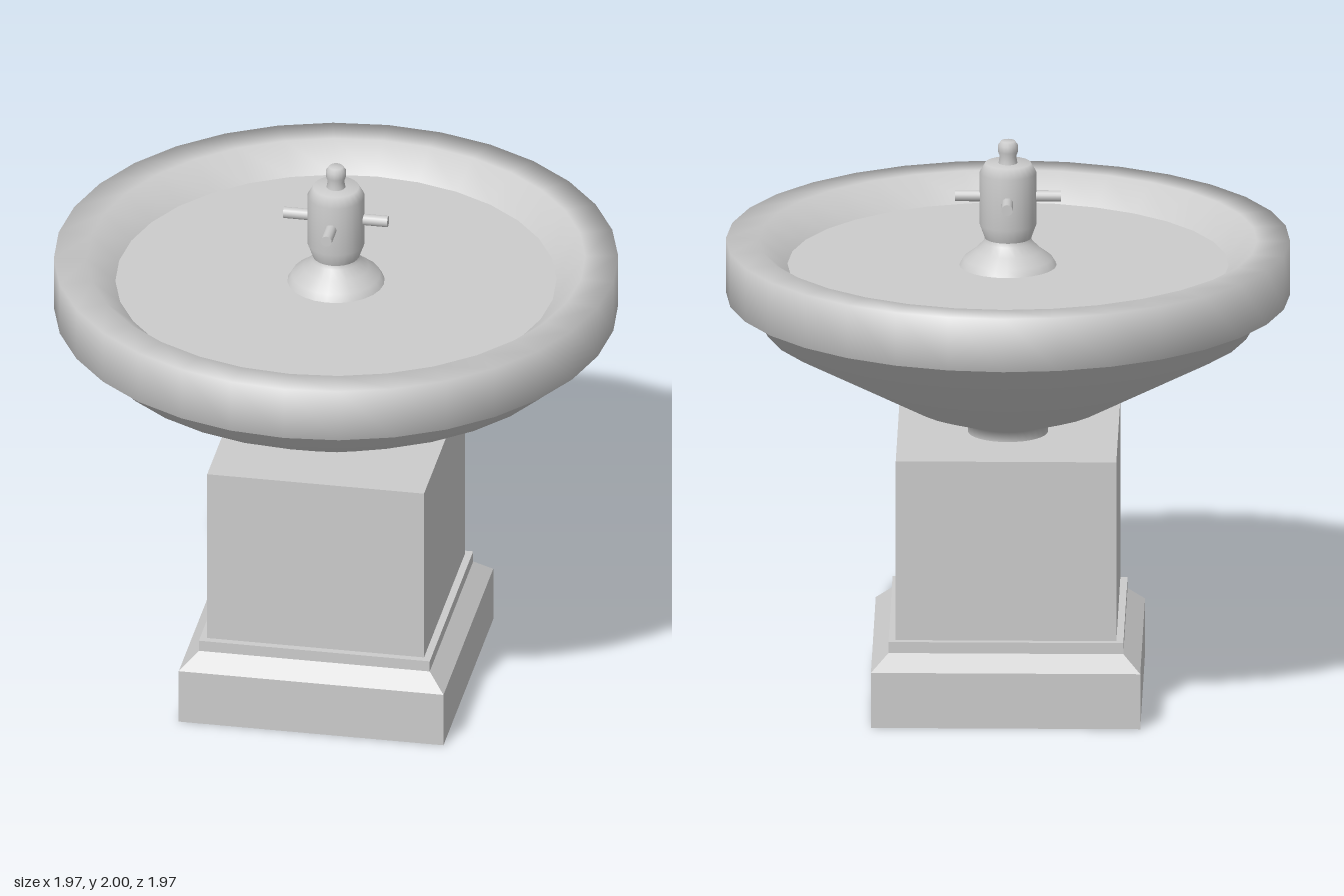
import * as THREE from 'three';

const smooth = new THREE.MeshStandardMaterial({ color: 0xcccccc });
const flat = new THREE.MeshStandardMaterial({ color: 0xcccccc, flatShading: true });

// Revolve a profile of [radius, height] points listed from bottom to top
function turned(name, profile, segments, material = smooth, phiStart = 0) {
  const points = profile.map(([r, y]) => new THREE.Vector2(r, y));
  const mesh = new THREE.Mesh(new THREE.LatheGeometry(points, segments, phiStart), material);
  mesh.name = name;
  return mesh;
}

export function createModel() {
  const fountain = new THREE.Group();
  fountain.name = 'fountain';

  // Square pedestal: plinth, sloped moulding, narrow band and block (half-widths)
  const pedestal = [
    [0, 0], [0.47, 0], [0.47, 0.2], [0.41, 0.255], [0.41, 0.295],
    [0.385, 0.295], [0.385, 0.945], [0, 0.945],
  ].map(([half, y]) => [half * Math.SQRT2, y]);
  fountain.add(turned('pedestal', pedestal, 4, flat, Math.PI / 4));

  // Short neck, bowl underside, overhanging rim and sloped inner lip
  fountain.add(turned('basin', [
    [0.14, 0.94], [0.14, 0.98], [0.34, 1.05], [0.85, 1.33], [0.92, 1.447],
    [0.985, 1.447], [0.985, 1.64], [0.87, 1.64], [0.77, 1.55],
  ], 32));

  // Flat water surface
  const water = new THREE.Mesh(new THREE.CircleGeometry(0.77, 32), smooth);
  water.name = 'water';
  water.rotation.x = -Math.PI / 2;
  water.position.y = 1.55;
  fountain.add(water);

  // Central spout: flared foot, rounded body and small finial
  const spout = new THREE.Group();
  spout.name = 'spout';
  spout.add(turned('spoutFoot', [
    [0.17, 1.55], [0.155, 1.575], [0.115, 1.605], [0.085, 1.635], [0.08, 1.655],
  ], 24));
  spout.add(turned('spoutBody', [
    [0.08, 1.645], [0.1, 1.7], [0.1, 1.885], [0.08, 1.92], [0, 1.92],
  ], 24));
  spout.add(turned('finial', [
    [0.033, 1.92], [0.029, 1.945], [0.035, 1.962], [0.035, 1.985], [0.025, 2], [0, 2],
  ], 16));

  // Four jets pointing outwards
  for (let i = 0; i < 4; i++) {
    const arm = new THREE.Group();
    arm.name = 'jet' + (i + 1);
    arm.rotation.y = i * Math.PI / 2;
    const pipe = new THREE.Mesh(new THREE.CylinderGeometry(0.02, 0.02, 0.185, 16), smooth);
    pipe.rotation.z = Math.PI / 2;
    pipe.position.set(0.0925, 1.8, 0);
    arm.add(pipe);
    spout.add(arm);
  }
  fountain.add(spout);

  return fountain;
}
